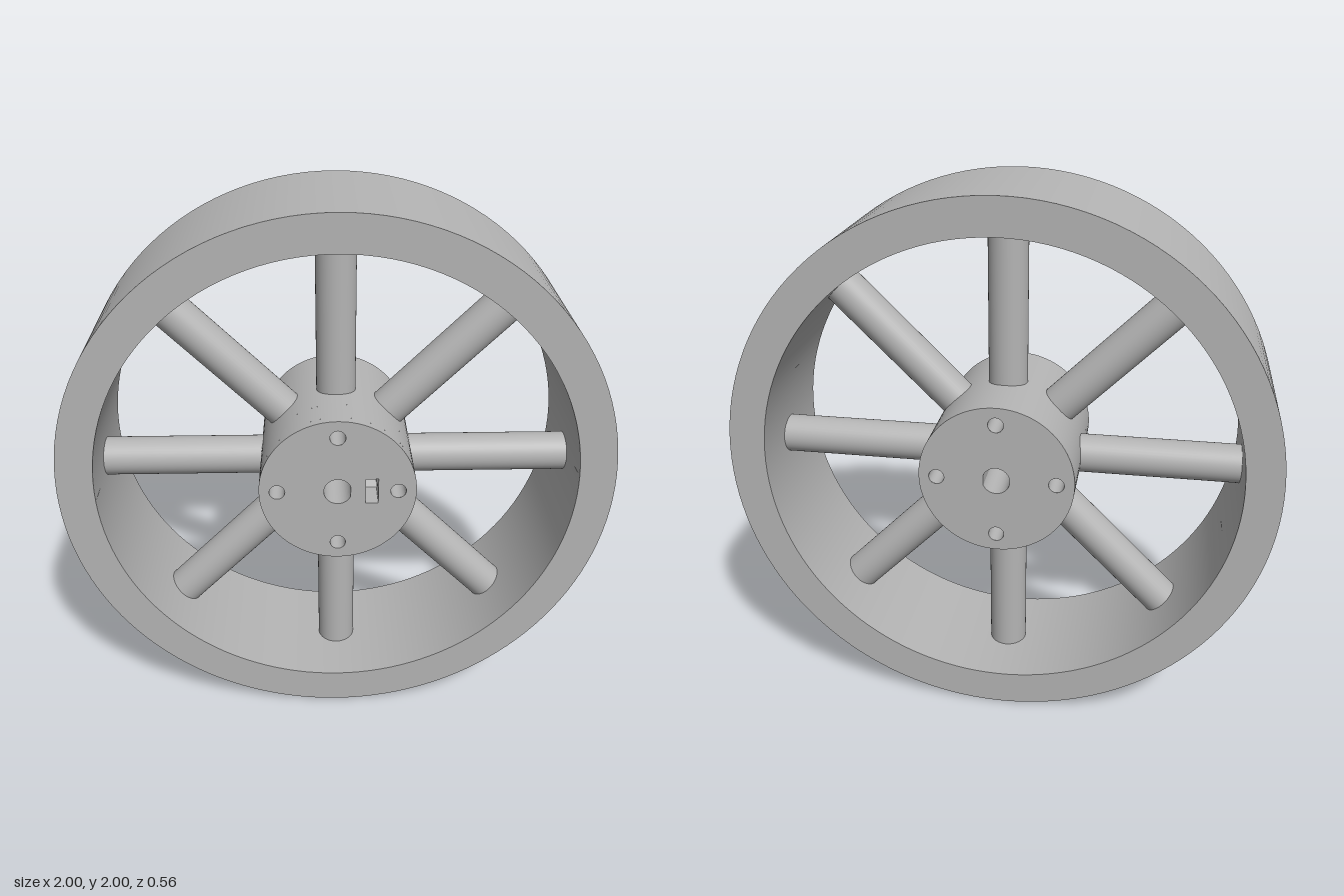
import * as THREE from 'three';

const RIM = 1, RIM_IN = 0.867, RIM_Z = 0.265;
const HUB = 0.282, HUB_Z = 0.282;
const BOLT = 0.028, BOLT_AT = 0.217, BORE = 0.05;
const SCREW = 0.025, SCREW_Z = 0.2, PATCH = 0.05; // radial screw hole in the hub's +x side
const SLOT_X0 = 0.1, SLOT_X1 = 0.145;

// Turns (u, v, depth) into (y, z, x) for parts built along the x axis
const sideways = new THREE.Matrix4().makeBasis(
  new THREE.Vector3(0, 1, 0), new THREE.Vector3(0, 0, 1), new THREE.Vector3(1, 0, 0));

// Open cylinder about z between two depths
function tube(r, z0, z1, segments = 96, start = 0, sweep = Math.PI * 2) {
  return new THREE.CylinderGeometry(r, r, z1 - z0, segments, 1, true, start, sweep)
    .rotateX(Math.PI / 2).translate(0, 0, (z0 + z1) / 2);
}

// Flat-faced wall that follows a 2D outline between two depths
function wall(points, z0, z1) {
  const pos = [];
  for (let i = 0; i + 1 < points.length; i++) {
    const a = points[i], b = points[i + 1];
    pos.push(a.x, a.y, z0, b.x, b.y, z1, b.x, b.y, z0);
    pos.push(a.x, a.y, z0, a.x, a.y, z1, b.x, b.y, z1);
  }
  const g = new THREE.BufferGeometry();
  g.setAttribute('position', new THREE.Float32BufferAttribute(pos, 3));
  g.computeVertexNormals();
  return g;
}

function circlePath(x, y, r) {
  return new THREE.Path().absarc(x, y, r, 0, Math.PI * 2, true);
}

// Round bore with one flat towards +x
function borePath() {
  const a = Math.acos(0.046 / BORE);
  const p = new THREE.Path().absarc(0, 0, BORE, a, Math.PI * 2 - a, false);
  p.closePath();
  return p;
}

const boltSpots = [0, 1, 2, 3].map(i => [
  BOLT_AT * Math.cos(i * Math.PI / 2), BOLT_AT * Math.sin(i * Math.PI / 2)]);

function hubFace(withSlot) {
  const s = new THREE.Shape().absarc(0, 0, HUB, 0, Math.PI * 2, false);
  s.holes.push(borePath(), ...boltSpots.map(([x, y]) => circlePath(x, y, BOLT)));
  if (withSlot) {
    s.holes.push(new THREE.Path([[SLOT_X0, -0.05], [SLOT_X0, 0.05], [SLOT_X1, 0.05], [SLOT_X1, -0.05]]
      .map(([x, y]) => new THREE.Vector2(x, y))));
  }
  return new THREE.ShapeGeometry(s, 48);
}

// Curved piece of hub wall around the screw hole
function screwPatch() {
  const g = new THREE.RingGeometry(1, 2, 48, 4);
  const p = g.attributes.position;
  for (let i = 0; i < p.count; i++) {
    const x = p.getX(i), y = p.getY(i), len = Math.hypot(x, y), t = len - 1;
    const square = PATCH / Math.max(Math.abs(x), Math.abs(y)) * len;
    const r = SCREW * (1 - t) + square * t;
    const u = x / len * r, v = y / len * r;
    p.setXYZ(i, HUB * Math.cos(u / HUB), HUB * Math.sin(u / HUB), SCREW_Z + v);
  }
  g.computeVertexNormals();
  return g;
}

export function createModel() {
  const model = new THREE.Group();
  model.name = 'spokedWheel';
  const grey = new THREE.MeshStandardMaterial({ color: 0xb4b4b4, side: THREE.DoubleSide });
  grey.name = 'grey';

  const group = name => {
    const g = new THREE.Group();
    g.name = name;
    g.position.y = 1;
    model.add(g);
    return g;
  };
  const add = (parent, name, geometry) => {
    const m = new THREE.Mesh(geometry, grey);
    m.name = name;
    parent.add(m);
    return m;
  };

  // Rim
  const rim = group('rim');
  add(rim, 'rimTread', tube(RIM, -RIM_Z, RIM_Z, 128));
  add(rim, 'rimInside', tube(RIM_IN, -RIM_Z, RIM_Z, 128));
  add(rim, 'rimFrontFace', new THREE.RingGeometry(RIM_IN, RIM, 128).translate(0, 0, RIM_Z));
  add(rim, 'rimBackFace', new THREE.RingGeometry(RIM_IN, RIM, 128).rotateY(Math.PI).translate(0, 0, -RIM_Z));

  // Spokes
  const spokes = group('spokes');
  const inner = 0.27, outer = 0.87;
  for (let i = 0; i < 8; i++) {
    const g = new THREE.CylinderGeometry(0.072, 0.072, outer - inner, 40, 1, true)
      .translate(0, (inner + outer) / 2, 0);
    add(spokes, 'spoke', g).rotation.z = i * Math.PI / 4;
  }

  // Hub shell, with a gap in one band for the screw hole
  const hub = group('hub');
  const z0 = SCREW_Z - PATCH, z1 = SCREW_Z + PATCH, gap = PATCH / HUB;
  add(hub, 'hubBarrel', tube(HUB, -HUB_Z, z0));
  add(hub, 'hubFrontBand', tube(HUB, z1, HUB_Z));
  add(hub, 'hubScrewBand', tube(HUB, z0, z1, 96, Math.PI / 2 + gap, Math.PI * 2 - 2 * gap));
  add(hub, 'hubScrewPatch', screwPatch());
  add(hub, 'hubFrontFace', hubFace(true).translate(0, 0, HUB_Z));
  add(hub, 'hubBackFace', hubFace(false).rotateX(Math.PI).translate(0, 0, -HUB_Z));

  // Bore and bolt holes
  add(hub, 'bore', wall(borePath().getPoints(48), -HUB_Z, HUB_Z));
  for (const [x, y] of boltSpots) {
    add(hub, 'boltHole', tube(BOLT, -HUB_Z, HUB_Z, 32).translate(x, y, 0));
  }

  // Nut slot with a pointed floor
  const profile = [[-0.05, HUB_Z], [-0.05, 0.171], [0, 0.142], [0.05, 0.171], [0.05, HUB_Z]]
    .map(([y, z]) => new THREE.Vector2(y, z));
  add(hub, 'nutSlotWall', wall(profile, SLOT_X0, SLOT_X1).applyMatrix4(sideways));
  const cheek = new THREE.Shape(profile);
  cheek.holes.push(circlePath(0, SCREW_Z, SCREW));
  for (const x of [SLOT_X0, SLOT_X1]) {
    add(hub, 'nutSlotCheek', new THREE.ShapeGeometry(cheek, 24).translate(0, 0, x).applyMatrix4(sideways));
  }

  // Screw hole, broken where it crosses the slot and the bolt hole
  for (const [a, b] of [[0.046, SLOT_X0], [SLOT_X1, BOLT_AT - BOLT], [BOLT_AT + BOLT, HUB]]) {
    add(hub, 'screwHole', tube(SCREW, a, b, 32).translate(0, SCREW_Z, 0).applyMatrix4(sideways));
  }
  return model;
}
